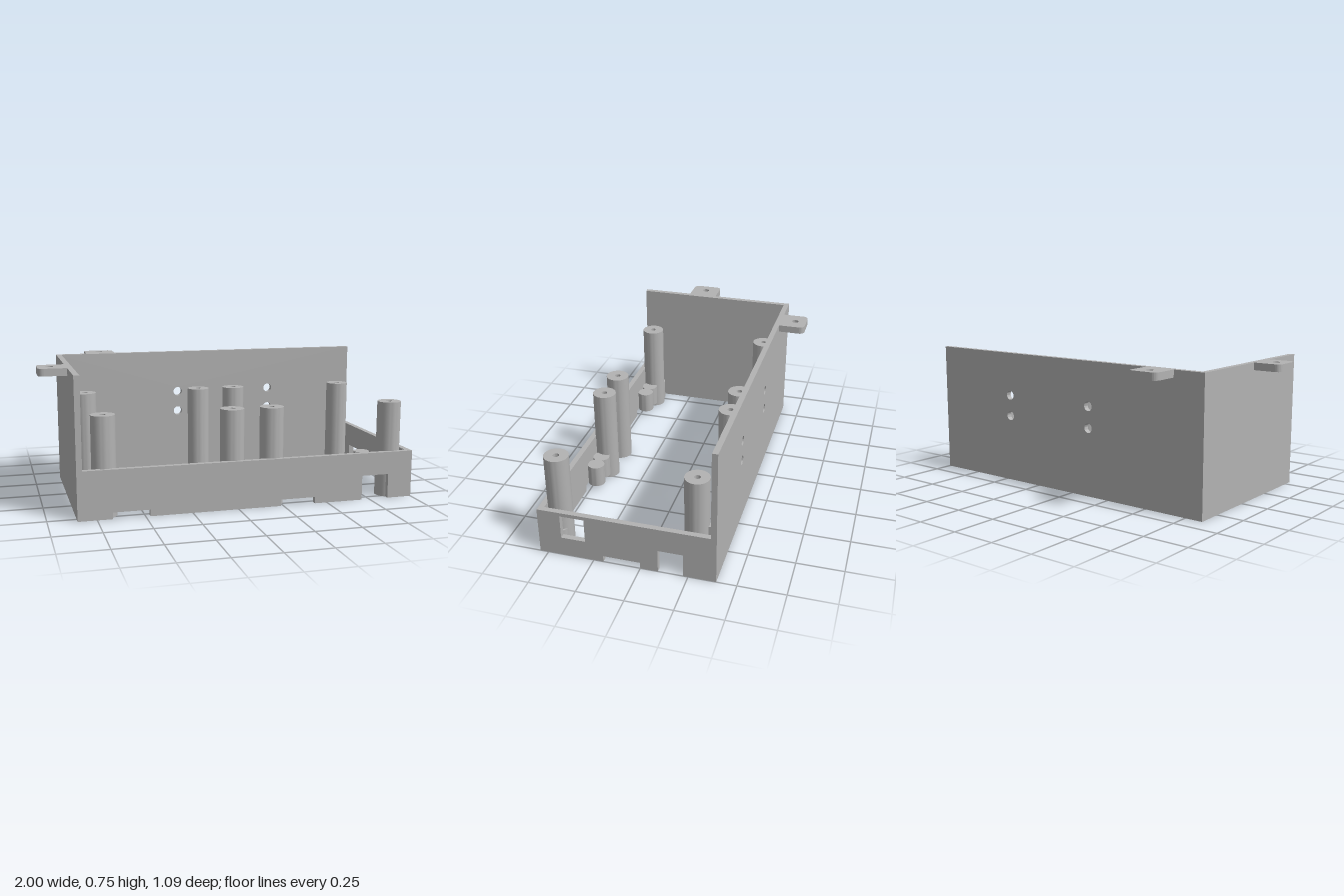
import * as THREE from 'three';
import { toCreasedNormals } from 'three/addons/utils/BufferGeometryUtils.js';

const plastic = new THREE.MeshStandardMaterial({ color: 0xb2b2b2 });
plastic.name = 'grey plastic';

const T = 0.03;                                   // wall thickness
const X0 = -0.85, X1 = 1, Z0 = -0.395, Z1 = 0.545; // outer box
const HIGH = 0.745, LOW = 0.26;                   // wall heights

function add(parent, name, geometry, x = 0, y = 0, z = 0) {
  const mesh = new THREE.Mesh(geometry, plastic);
  mesh.name = name;
  mesh.position.set(x, y, z);
  parent.add(mesh);
  return mesh;
}

function circleHole(x, y, r) {
  return new THREE.Path().absarc(x, y, r, 0, Math.PI * 2, true);
}

// Wall outline from a to b, with notches [from, to, height] in its lower edge
function wallGeometry(a, b, height, notches = [], holes = []) {
  const s = new THREE.Shape();
  s.moveTo(a, 0);
  for (const [from, to, h] of notches) {
    s.lineTo(from, 0);
    s.lineTo(from, h);
    s.lineTo(to, h);
    s.lineTo(to, 0);
  }
  s.lineTo(b, 0);
  s.lineTo(b, height);
  s.lineTo(a, height);
  s.closePath();
  s.holes.push(...holes);
  const g = new THREE.ExtrudeGeometry(s, { depth: T, bevelEnabled: false, curveSegments: 16 });
  return toCreasedNormals(g, 0.6);
}

function lathe(points, segments) {
  const g = new THREE.LatheGeometry(points.map(([x, y]) => new THREE.Vector2(x, y)), segments);
  return toCreasedNormals(g, 0.6);
}

// Mounting tab reaching towards -z, with rounded outer corners and a screw hole
function tabGeometry() {
  const w = 0.085, l = 0.15, r = 0.03;
  const s = new THREE.Shape();
  s.moveTo(w, 0);
  s.lineTo(-w, 0);
  s.lineTo(-w, -l + r);
  s.absarc(-w + r, -l + r, r, Math.PI, Math.PI * 1.5, false);
  s.absarc(w - r, -l + r, r, Math.PI * 1.5, Math.PI * 2, false);
  s.closePath();
  s.holes.push(circleHole(0, -0.083, 0.02));
  const g = new THREE.ExtrudeGeometry(s, { depth: 0.04, bevelEnabled: false, curveSegments: 12 });
  g.rotateX(Math.PI / 2);
  return toCreasedNormals(g, 0.6);
}

export function createModel() {
  const model = new THREE.Group();
  model.name = 'openEnclosure';

  // Tall back and right-hand walls
  const vents = [];
  for (const x of [-0.12, 0.46]) for (const y of [0.38, 0.5]) vents.push(circleHole(x, y, 0.026));
  add(model, 'backWall', wallGeometry(X0, X1, HIGH, [], vents), 0, 0, Z0);
  const side = add(model, 'tallSideWall', wallGeometry(Z0 + T, Z1, HIGH), X0 + T);
  side.rotation.y = -Math.PI / 2;

  // Low front wall with cable notches
  const frontNotches = [[-0.67, -0.475, 0.035], [0.235, 0.43, 0.035], [0.705, 0.86, 0.135]];
  add(model, 'frontWall', wallGeometry(X0 + T, X1, LOW, frontNotches), 0, 0, Z1 - T);

  // Low side wall with notches and a square window
  const window = new THREE.Path();
  window.moveTo(0.292, 0.107);
  window.lineTo(0.292, 0.24);
  window.lineTo(0.422, 0.24);
  window.lineTo(0.422, 0.107);
  window.closePath();
  const sideNotches = [[-0.225, -0.093, 0.13], [0, 0.198, 0.035]];
  const low = add(model, 'lowSideWall', wallGeometry(Z0 + T, Z1 - T, LOW, sideNotches, [window]), X1);
  low.rotation.y = -Math.PI / 2;

  // Tall posts: narrow hole at the top, wide bore from below
  const post = lathe([
    [0.036, 0], [0.064, 0], [0.064, 0.53], [0.016, 0.53], [0.016, 0.48], [0.036, 0.48], [0.036, 0],
  ], 40);
  for (const x of [-0.7, -0.015, 0.205, 0.89]) {
    add(model, 'frontPost', post, x, 0, 0.463);
    add(model, 'backPost', post, x, 0, -0.268);
    add(model, 'postRib', new THREE.BoxGeometry(0.036, LOW, 0.045), x, LOW / 2, -0.3475);
  }

  // Short screw pegs with blind holes: corners, then pairs above the notches
  const peg = lathe([
    [0, 0.09], [0.014, 0.09], [0.014, 0], [0.047, 0], [0.047, 0.12], [0, 0.12],
  ], 32);
  for (const [x, z] of [[-0.768, -0.315], [-0.768, 0.46], [0.92, -0.318], [0.923, 0.46]]) {
    add(model, 'cornerPeg', peg, x, 0, z);
  }
  for (const [x, z] of [[-0.617, 0.47], [-0.53, 0.47], [0.288, 0.47], [0.374, 0.47],
    [0.925, 0.053], [0.925, 0.14]]) {
    add(model, 'notchPeg', peg, x, 0.035, z);
  }

  // Mounting tabs level with the top rim
  const tab = tabGeometry();
  add(model, 'backTab', tab, -0.585, HIGH, Z0);
  add(model, 'sideTab', tab, X0, HIGH, 0.17).rotation.y = Math.PI / 2;

  return model;
}
